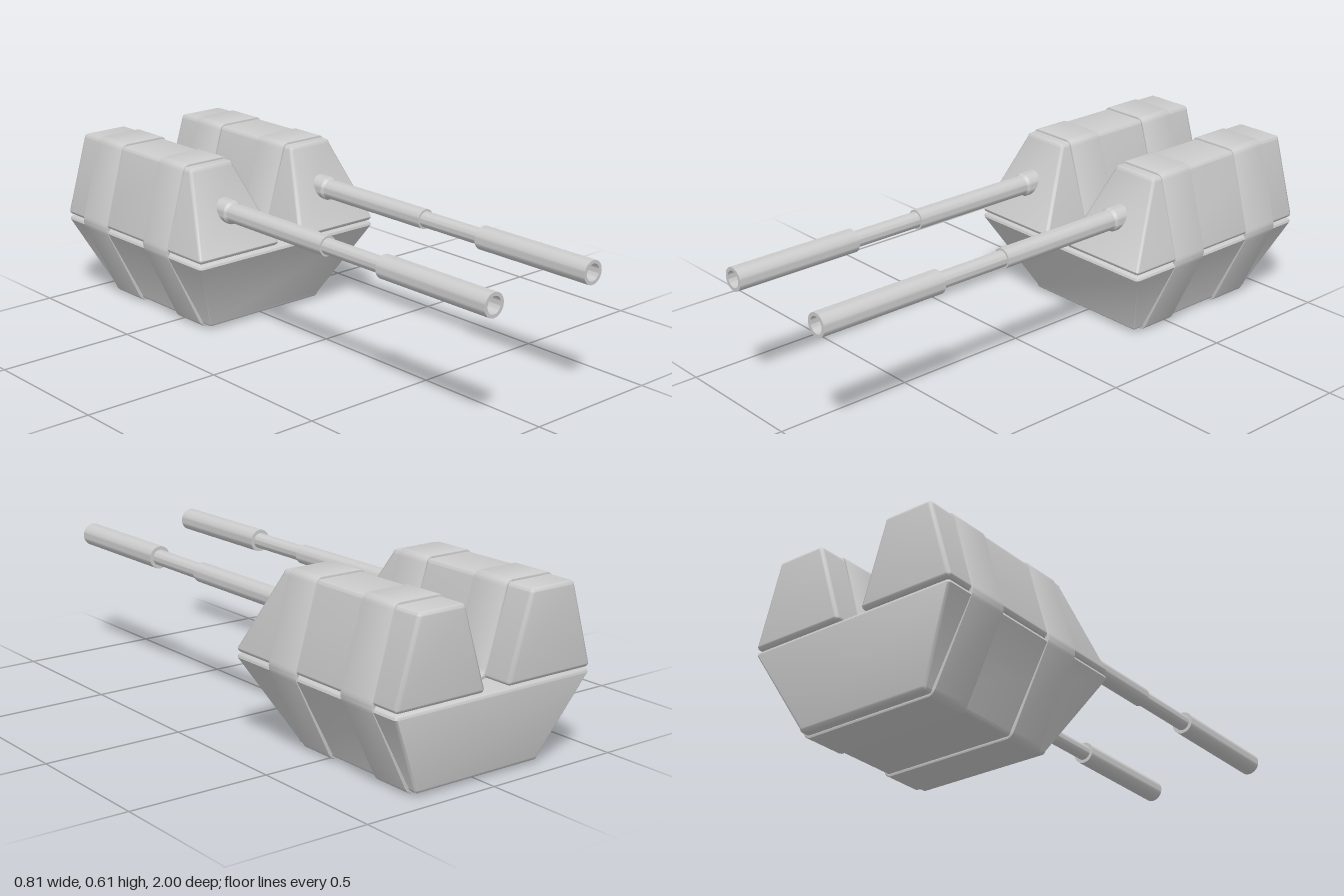
import * as THREE from 'three';
import { toCreasedNormals } from 'three/addons/utils/BufferGeometryUtils.js';
import { RoundedBoxGeometry } from 'three/addons/geometries/RoundedBoxGeometry.js';

const material = new THREE.MeshStandardMaterial({ color: 0xcccccc });

function addMesh(parent, name, geometry) {
  const mesh = new THREE.Mesh(geometry, material);
  mesh.name = name;
  parent.add(mesh);
  return mesh;
}

// Tapered block with rounded edges; each end is a rectangle at its own height
function taperedBlock(bottom, top, r) {
  const geo = new RoundedBoxGeometry(1, 1, 1, 3, 0.25);
  const pos = geo.attributes.position;
  for (let i = 0; i < pos.count; i++) {
    const p = [pos.getX(i), pos.getY(i), pos.getZ(i)];
    const s = p.map(Math.sign);
    const o = p.map((v, k) => (v - s[k] * 0.25) / 0.25 * r);
    const e = s[1] > 0 ? top : bottom;
    const x = s[0] > 0 ? e.x[1] - r : e.x[0] + r;
    const z = s[2] > 0 ? e.z[1] - r : e.z[0] + r;
    pos.setXYZ(i, x + o[0], e.y - s[1] * r + o[1], z + o[2]);
  }
  return toCreasedNormals(geo, 0.6);
}

// Closed polygon with softened corners
function roundedPath(path, points, r) {
  const v = points.map(([x, y]) => new THREE.Vector2(x, y));
  v.forEach((c, i) => {
    const prev = v[(i + v.length - 1) % v.length];
    const next = v[(i + 1) % v.length];
    const a = c.clone().add(prev.clone().sub(c).setLength(r));
    const b = c.clone().add(next.clone().sub(c).setLength(r));
    if (i === 0) path.moveTo(a.x, a.y);
    else path.lineTo(a.x, a.y);
    path.quadraticCurveTo(c.x, c.y, b.x, b.y);
  });
  path.closePath();
  return path;
}

// Mirror the +x half of an outline, listed from bottom to valley
const mirrored = (half) => [...half, ...half.map(([x, y]) => [-x, y]).reverse()];

// Thin strap that wraps hull and pods
function strapGeometry(z0, z1) {
  const outer = mirrored([[0.258, 0], [0.407, 0.305], [0.318, 0.612], [0.13, 0.612], [0.042, 0.318]]);
  const inner = mirrored([[0.246, 0.016], [0.388, 0.305], [0.308, 0.598], [0.14, 0.598], [0.052, 0.309]]);
  const shape = roundedPath(new THREE.Shape(), outer, 0.024);
  shape.holes.push(roundedPath(new THREE.Path(), inner, 0.012));
  const bevel = 0.004;
  const geo = new THREE.ExtrudeGeometry(shape, {
    depth: z1 - z0 - 2 * bevel, curveSegments: 5,
    bevelThickness: bevel, bevelSize: bevel, bevelOffset: -bevel, bevelSegments: 2,
  });
  geo.translate(0, 0, z0 + bevel);
  return toCreasedNormals(geo, 0.6);
}

// Stepped barrel along +z with a hollow muzzle
function barrelGeometry() {
  const profile = [
    [0, -0.34], [0.042, -0.34], [0.042, -0.235], [0.035, -0.225], [0.035, 0.26], [0.028, 0.26],
    [0.028, 0.53], [0.041, 0.53], [0.041, 1], [0.029, 1], [0.029, 0.9], [0, 0.9],
  ].map(([r, y]) => new THREE.Vector2(r, y));
  const geo = new THREE.LatheGeometry(profile, 32);
  geo.rotateX(Math.PI / 2);
  return toCreasedNormals(geo, 0.6);
}

export function createModel() {
  const model = new THREE.Group();
  model.name = 'twinGunTurret';

  // Lower hull, narrowing towards the base
  addMesh(model, 'lowerHull', taperedBlock(
    { x: [-0.255, 0.255], z: [-0.93, -0.335], y: 0.01 },
    { x: [-0.397, 0.397], z: [-0.998, -0.195], y: 0.305 }, 0.013));

  // Gun pods with their barrels
  for (const [side, sign] of [['left', 1], ['right', -1]]) {
    const span = (a, b) => (sign > 0 ? [a, b] : [-b, -a]);
    addMesh(model, side + 'Pod', taperedBlock(
      { x: span(0.048, 0.397), z: [-1, -0.195], y: 0.31 },
      { x: span(0.132, 0.318), z: [-1, -0.34], y: 0.604 }, 0.014));
    addMesh(model, side + 'Barrel', barrelGeometry()).position.set(sign * 0.222, 0.456, 0);
  }

  // Front and rear straps
  addMesh(model, 'frontStrap', strapGeometry(-0.522, -0.38));
  addMesh(model, 'rearStrap', strapGeometry(-0.895, -0.745));

  return model;
}
